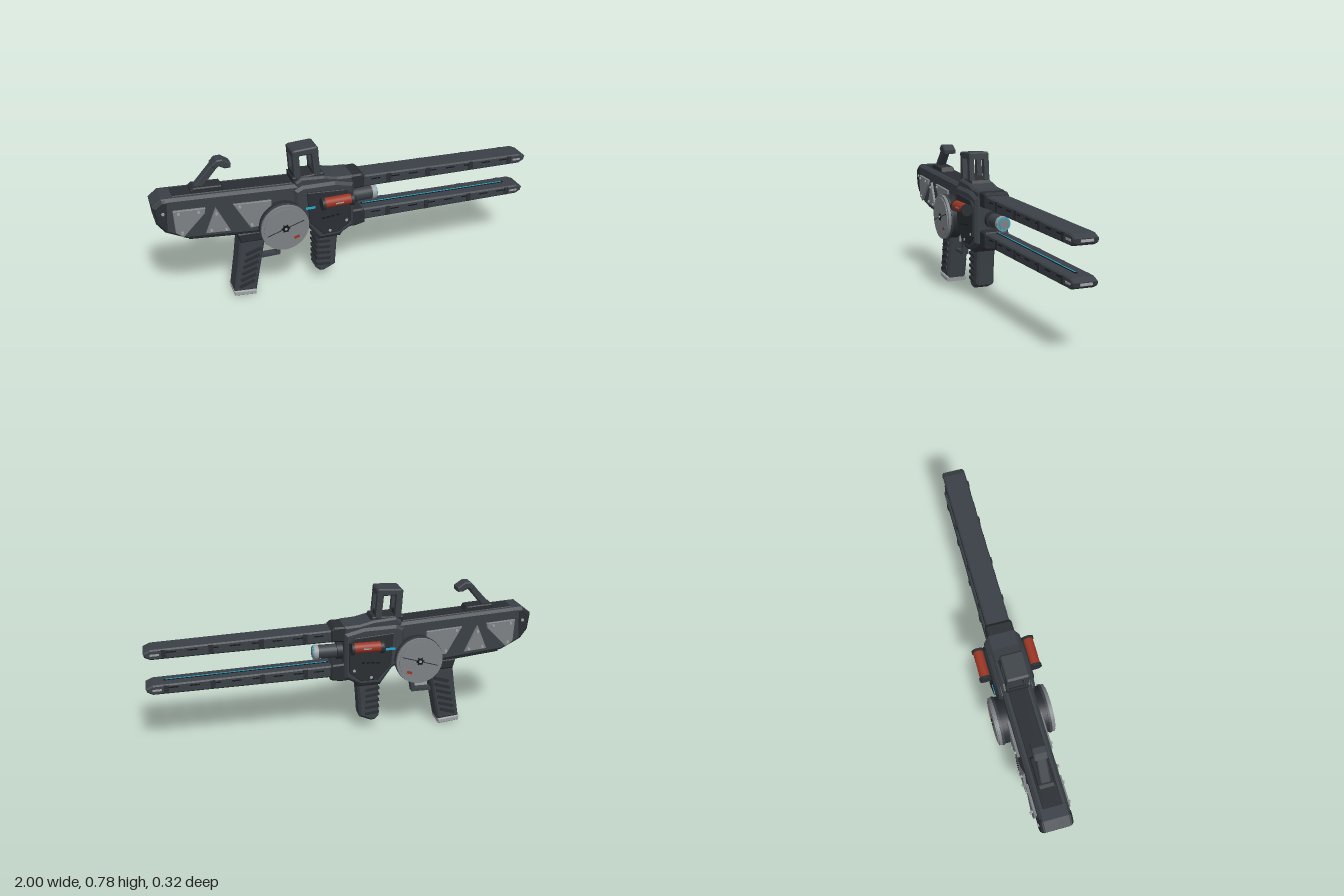
import * as THREE from 'three';

const mat = (name, color) => {
  const m = new THREE.MeshStandardMaterial({ color });
  m.name = name;
  return m;
};

export function createModel() {
  const body = mat('gunmetal', 0x3a4046);
  const dark = mat('dark gunmetal', 0x2a2e32);
  const black = mat('black', 0x15181b);
  const panel = mat('grey panel', 0x7d8184);
  const light = mat('light grey', 0x9da1a3);
  const red = mat('red', 0x9c3522);
  const cyan = mat('cyan', 0x1fa9cf);

  const model = new THREE.Group();
  model.name = 'railRifle';

  const add = (name, geometry, material, x = 0, y = 0, z = 0, tilt = 0) => {
    const mesh = new THREE.Mesh(geometry, material);
    mesh.name = name;
    mesh.position.set(x, y, z);
    mesh.rotation.z = tilt;
    model.add(mesh);
    return mesh;
  };
  const box = (name, material, w, h, d, x, y, z = 0, tilt = 0) =>
    add(name, new THREE.BoxGeometry(w, h, d), material, x, y, z, tilt);
  // Side profile extruded symmetrically about its z centre, with chamfered edges
  const slab = (name, material, points, half, bevel = 0, z = 0) => {
    const shape = new THREE.Shape(points.map(p => new THREE.Vector2(...p)));
    const geometry = new THREE.ExtrudeGeometry(shape, {
      depth: 2 * (half - bevel), bevelEnabled: bevel > 0, bevelSize: bevel,
      bevelThickness: bevel, bevelOffset: -bevel, bevelSegments: 1,
    });
    geometry.translate(0, 0, bevel - half);
    return add(name, geometry, material, 0, 0, z);
  };
  const disc = (name, material, r, depth, x, y, z, sides = 40) =>
    add(name, new THREE.CylinderGeometry(r, r, depth, sides).rotateX(Math.PI / 2), material, x, y, z);
  const rod = (name, material, r, x0, x1, y, z = 0, r2 = r) =>
    add(name, new THREE.CylinderGeometry(r2, r, x1 - x0, 32).rotateZ(-Math.PI / 2), material, (x0 + x1) / 2, y, z);

  // Stock and receiver
  slab('stock', body, [[-1, 0.605], [-0.955, 0.64], [-0.9, 0.637], [-0.2, 0.595], [-0.2, 0.37],
    [-0.52, 0.375], [-0.85, 0.408], [-0.95, 0.46], [-0.99, 0.515]], 0.075, 0.014);
  slab('stockSpine', dark, [[-0.9, 0.64], [-0.28, 0.603], [-0.28, 0.585], [-0.9, 0.62]], 0.05, 0.005);
  slab('buttPad', dark, [[-0.998, 0.603], [-0.955, 0.635], [-0.925, 0.63], [-0.935, 0.475],
    [-0.952, 0.465], [-0.988, 0.515]], 0.078, 0.01);
  slab('stockKeel', dark, [[-0.84, 0.42], [-0.3, 0.40], [-0.3, 0.36], [-0.5, 0.36], [-0.84, 0.395]], 0.06, 0.008);
  slab('receiver', body, [[-0.31, 0.575], [-0.27, 0.595], [-0.1, 0.59], [0, 0.565], [0, 0.325], [-0.08, 0.28],
    [-0.19, 0.28], [-0.25, 0.365], [-0.31, 0.4]], 0.092, 0.014);
  slab('receiverTop', body, [[-0.3, 0.61], [-0.27, 0.632], [-0.15, 0.622], [-0.08, 0.605], [0, 0.6],
    [0, 0.55], [-0.3, 0.55]], 0.075, 0.01);
  slab('receiverKeel', dark, [[-0.2, 0.31], [-0.03, 0.32], [-0.07, 0.268], [-0.19, 0.27]], 0.08, 0.01);

  // Details on both flanks
  for (const s of [1, -1]) {
    slab('sideCover', dark, [[-0.25, 0.56], [-0.05, 0.545], [-0.02, 0.52], [-0.02, 0.36], [-0.08, 0.31],
      [-0.17, 0.31], [-0.24, 0.39]], 0.008, 0.003, s * 0.094);
    slab('rearPanel', panel, [[-0.91, 0.578], [-0.755, 0.568], [-0.76, 0.54], [-0.87, 0.43], [-0.905, 0.46]],
      0.008, 0.002, s * 0.08);
    slab('middlePanel', panel, [[-0.705, 0.56], [-0.64, 0.42], [-0.76, 0.43]], 0.008, 0.002, s * 0.08);
    slab('frontPanel', panel, [[-0.62, 0.56], [-0.43, 0.548], [-0.43, 0.42], [-0.54, 0.415]],
      0.008, 0.002, s * 0.08);
    for (const [x, y] of [[-0.885, 0.562], [-0.79, 0.555], [-0.875, 0.458], [-0.705, 0.53], [-0.735, 0.443],
      [-0.662, 0.435], [-0.59, 0.545], [-0.535, 0.435]])
      disc('panelScrew', light, 0.007, 0.014, x, y, s * 0.089, 10);
    for (const [x, y] of [[-0.955, 0.57], [-0.135, 0.327], [-0.045, 0.37]])
      disc('coverBolt', light, 0.008, 0.03, x, y, s * (x < -0.5 ? 0.068 : 0.09), 10);
    for (let i = 0; i < 4; i++)
      box('ventSlot', black, 0.016, 0.008, 0.004, -0.17 + i * 0.026, 0.405 + i * 0.002, s * 0.103);
    box('sideLight', cyan, 0.05, 0.012, 0.004, -0.235, 0.476, s * 0.103);
    box('frontLight', cyan, 0.006, 0.024, 0.008, 0.002, 0.374, s * 0.05);

    // Drum
    disc('drumBase', dark, 0.12, 0.06, -0.38, 0.412, s * 0.09);
    disc('drumRim', body, 0.125, 0.012, -0.38, 0.412, s * 0.122);
    disc('drumFace', panel, 0.122, 0.016, -0.38, 0.412, s * 0.135);
    disc('drumPlate', panel, 0.108, 0.006, -0.38, 0.412, s * 0.145);
    disc('drumHub', black, 0.017, 0.008, -0.38, 0.412, s * 0.148, 20);
    disc('drumPin', light, 0.007, 0.014, -0.38, 0.412, s * 0.149, 12);
    box('drumSeam', dark, 0.2, 0.004, 0.003, -0.38, 0.412, s * 0.148, 0.3);
    for (let i = 0; i < 6; i++) {
      const a = i * Math.PI / 3;
      box('hubSpoke', black, 0.046, 0.005, 0.003, -0.38, 0.412, s * 0.148, a);
    }
    box('drumMark', red, 0.028, 0.014, 0.004, -0.325, 0.355, s * 0.148, 0.3);

    // Red canister
    rod('canister', red, 0.026, -0.175, -0.03, 0.506, s * 0.13);
    rod('canisterRearCap', dark, 0.031, -0.188, -0.172, 0.502, s * 0.13);
    rod('canisterFrontCap', dark, 0.031, -0.036, -0.022, 0.502, s * 0.13);
    box('canisterTag', light, 0.04, 0.007, 0.003, -0.1, 0.506, s * 0.1555);
    box('canisterCradle', dark, 0.14, 0.025, 0.04, -0.105, 0.505, s * 0.1);
  }

  // Barrel with glowing ring
  rod('barrelBase', dark, 0.044, -0.01, 0.03, 0.45);
  rod('barrel', body, 0.036, 0.02, 0.125, 0.45);
  rod('barrelRing', light, 0.038, 0.125, 0.148, 0.45);
  rod('barrelGlow', cyan, 0.034, 0.146, 0.152, 0.45);
  rod('barrelLens', panel, 0.027, 0.15, 0.156, 0.45);

  // Twin rails: [top, bottom] heights at the root, then at the tip
  const rails = [{ t0: 0.585, b0: 0.52, t1: 0.55, b1: 0.498, inner: -1 },
    { t0: 0.392, b0: 0.328, t1: 0.362, b1: 0.312, inner: 1 }];
  for (const { t0, b0, t1, b1, inner } of rails) {
    const lerp = THREE.MathUtils.lerp;
    const top = x => lerp(t0, t1, x), bottom = x => lerp(b0, b1, x);
    const slope = Math.atan((t1 + b1 - t0 - b0) / 2);
    slab('rail', body, [[-0.02, t0], [0.965, t1], [1, t1 - 0.016], [0.993, b1 + 0.014], [0.965, b1], [-0.02, b0]],
      0.06, 0.007);
    slab('railMount', dark, inner < 0
      ? [[-0.1, 0.6], [0.05, 0.598], [0.066, 0.585], [0.066, 0.52], [-0.1, 0.515]]
      : [[-0.05, 0.4], [0.06, 0.395], [0.07, 0.38], [0.07, 0.312], [0.02, 0.302], [-0.05, 0.305]], 0.068, 0.008);
    for (const x of [0.2, 0.42, 0.67, 0.9])
      box('railClip', dark, 0.024, top(x) - bottom(x) - 0.012, 0.13, x, (top(x) + bottom(x)) / 2, 0, slope);
    const lineY = (inner > 0 ? top(0.49) : bottom(0.49)) + inner * 0.0015;
    const lineTilt = Math.atan(inner > 0 ? t1 - t0 : b1 - b0);
    box('railChannel', black, 0.84, 0.003, 0.012, 0.49, lineY, 0, lineTilt);
    box('railLight', cyan, 0.82, 0.006, 0.006, 0.49, lineY, 0, lineTilt);
    box('tipTag', light, 0.005, 0.012, 0.06, 0.9975, (t1 + b1) / 2, 0, 0.1);
    for (const s of [1, -1]) {
      for (let i = 0; i < 8; i++) {
        const x = 0.13 + i * 0.105;
        box('railSlot', black, 0.05, 0.006, 0.003, x, (top(x) + bottom(x)) / 2 + 0.008, s * 0.0605, slope);
      }
      box('sideTag', light, 0.045, 0.01, 0.003, 0.945, (t1 + b1) / 2, s * 0.0605, slope);
    }
  }

  // Front sight cage: two windowed walls and a roof
  for (const [x, tilt] of [[-0.287, 0.06], [-0.186, 0.09]]) {
    for (const s of [1, -1]) box('sightPost', body, 0.032, 0.16, 0.027, x, 0.69, s * 0.042, tilt);
    box('sightSill', dark, 0.032, 0.04, 0.084, x, 0.635, 0, tilt);
  }
  slab('sightRoof', body, [[-0.308, 0.768], [-0.298, 0.776], [-0.182, 0.782], [-0.174, 0.774],
    [-0.172, 0.745], [-0.308, 0.742]], 0.056, 0.006);
  slab('sightBase', dark, [[-0.31, 0.632], [-0.15, 0.636], [-0.13, 0.6], [-0.31, 0.6]], 0.056, 0.005);

  // Folding rear sight
  slab('rearSightBase', dark, [[-0.81, 0.645], [-0.795, 0.658], [-0.66, 0.65], [-0.645, 0.62], [-0.81, 0.622]], 0.04, 0.005);
  slab('rearSightArm', body, [[-0.79, 0.655], [-0.69, 0.765], [-0.665, 0.745], [-0.745, 0.652]], 0.024, 0.005);
  slab('rearSightHead', body, [[-0.7, 0.755], [-0.675, 0.78], [-0.645, 0.78], [-0.605, 0.753],
    [-0.608, 0.732], [-0.635, 0.732], [-0.665, 0.748], [-0.68, 0.735]], 0.034, 0.005);

  // Rear grip with trigger
  slab('gripCollar', dark, [[-0.605, 0.375], [-0.44, 0.37], [-0.455, 0.315], [-0.59, 0.32]], 0.062, 0.008);
  slab('rearGrip', body, [[-0.59, 0.345], [-0.455, 0.345], [-0.47, 0.28], [-0.52, 0.025], [-0.637, 0.035],
    [-0.61, 0.2]], 0.055, 0.01);
  slab('gripCap', light, [[-0.64, 0.038], [-0.522, 0.026], [-0.526, 0], [-0.636, 0.012]], 0.057, 0.004);
  for (let i = 0; i < 6; i++)
    box('gripRib', dark, 0.085, 0.016, 0.126, -0.571 + i * 0.0085, 0.075 + i * 0.037, 0, 0.3);
  box('guardBottom', body, 0.11, 0.016, 0.036, -0.435, 0.195);
  slab('guardFront', body, [[-0.4, 0.187], [-0.378, 0.19], [-0.36, 0.3], [-0.36, 0.38], [-0.39, 0.38], [-0.39, 0.3]], 0.018, 0.003);
  slab('trigger', light, [[-0.46, 0.34], [-0.425, 0.34], [-0.428, 0.3], [-0.437, 0.25], [-0.452, 0.255], [-0.445, 0.3]], 0.012, 0.002);

  // Front grip
  slab('frontGrip', body, [[-0.19, 0.29], [-0.07, 0.29], [-0.08, 0.2], [-0.088, 0.08], [-0.15, 0.053],
    [-0.172, 0.055], [-0.195, 0.078], [-0.187, 0.2]], 0.05, 0.012);
  for (let i = 0; i < 5; i++)
    box('frontGripRib', dark, 0.075, 0.014, 0.108, -0.155, 0.1 + i * 0.034, 0, -0.12);

  return model;
}
